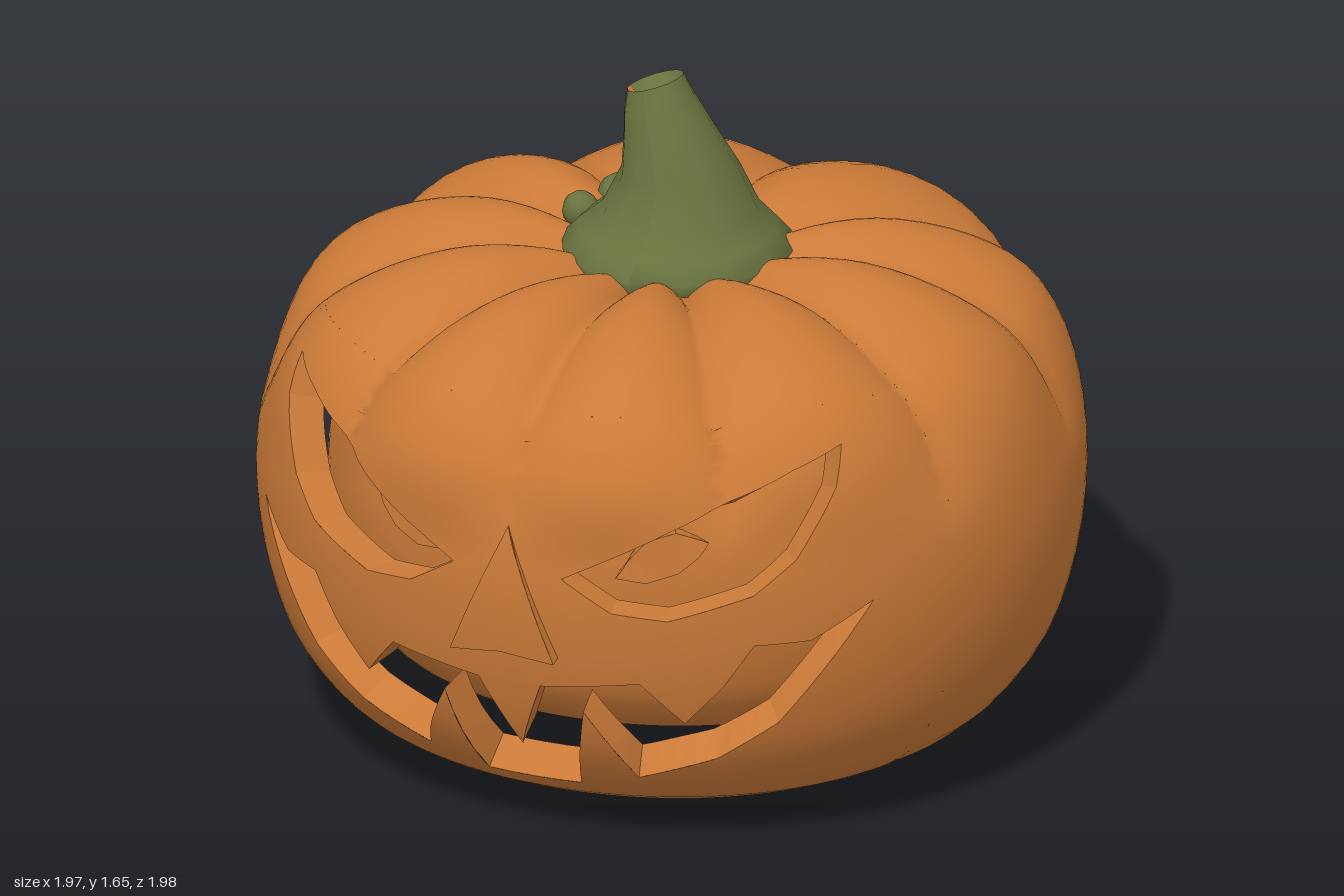
import * as THREE from 'three';

const skin = new THREE.MeshStandardMaterial({ color: 0xcb7a38 });
skin.name = 'pumpkinOrange';
const green = new THREE.MeshStandardMaterial({ color: 0x69733f });
green.name = 'stemGreen';

const V2 = (p) => new THREE.Vector2(p[0], p[1]);
const ss = THREE.MathUtils.smoothstep;

// Side profile (radius, height) from the underside to the hollow below the stem
const profile = new THREE.SplineCurve([
  [0.02, 0.02], [0.2, 0.005], [0.42, 0.005], [0.73, 0.085], [0.89, 0.23], [0.97, 0.42], [1, 0.66],
  [0.97, 0.88], [0.88, 1.075], [0.73, 1.185], [0.52, 1.245], [0.32, 1.235], [0.12, 1.17],
].map(V2));

// Angles of the grooves, measured from the front
const half = [0.56, 1.19, 1.8, 2.34];
const grooves = [-Math.PI, ...half.map((a) => -a).reverse(), 0, ...half, Math.PI];
const FACE = { a: 1.19, y0: 0.1, y1: 1.12 };

// Profile parameter at a height on the side
function vOf(y) {
  let lo = 2 / 12, hi = 10 / 12;
  for (let i = 0; i < 22; i++) {
    const m = (lo + hi) / 2;
    if (profile.getPoint(m).y < y) lo = m; else hi = m;
  }
  return (lo + hi) / 2;
}

// Lobed skin: grooves fade on the lower front and sides
function skinPoint(angle, v) {
  const p = profile.getPoint(THREE.MathUtils.clamp(v, 0, 1));
  const a = THREE.MathUtils.euclideanModulo(angle + Math.PI, 2 * Math.PI) - Math.PI;
  let i = 0;
  while (i < grooves.length - 2 && a > grooves[i + 1]) i++;
  const u = (a - grooves[i]) / (grooves[i + 1] - grooves[i]);
  const lobe = Math.pow(Math.max(0, Math.sin(Math.PI * u)), 0.8);
  const fade = (1 - ss(Math.abs(a), 1.9, 2.5)) * (1 - ss(p.y, 0.75, 1));
  const b = THREE.MathUtils.lerp(lobe, 0.05 + 0.75 * (1 - Math.exp(-2 * a * a)), fade);
  const r = p.x * (0.965 + 0.055 * b);
  const y = p.y - 0.06 * (1 - b) * ss(p.y, 0.9, 1.2);
  return new THREE.Vector3(0.975 * r * Math.sin(a), y, r * Math.cos(a));
}

function skinNormal(a, v) {
  const e = 0.004;
  const da = skinPoint(a + e, v).sub(skinPoint(a - e, v));
  const dv = skinPoint(a, v + e).sub(skinPoint(a, v - e));
  return da.cross(dv).normalize();
}

// Point at a depth under the skin
const under = (a, v, depth) => skinPoint(a, v).addScaledVector(skinNormal(a, v), -depth);

function toGeometry(pos, nor, index) {
  const g = new THREE.BufferGeometry();
  g.setAttribute('position', new THREE.Float32BufferAttribute(pos, 3));
  if (nor) g.setAttribute('normal', new THREE.Float32BufferAttribute(nor, 3));
  if (index) g.setIndex(index);
  if (!nor) g.computeVertexNormals();
  return g;
}

// Regular piece of skin between two angles and two profile parameters
function skinGrid(a0, a1, v0, v1, na, nv, depth = 0) {
  const pos = [], nor = [], index = [];
  for (let j = 0; j <= nv; j++) for (let i = 0; i <= na; i++) {
    const a = a0 + (a1 - a0) * i / na, v = v0 + (v1 - v0) * j / nv;
    pos.push(...under(a, v, depth));
    nor.push(...skinNormal(a, v));
    if (i < na && j < nv) {
      const k = j * (na + 1) + i, m = k + na + 1;
      index.push(k, k + 1, m + 1, k, m + 1, m);
    }
  }
  return toGeometry(pos, nor, index);
}

// Outline drawn on the front (x, y) -> (angle, y), counter-clockwise
function wrap(points) {
  const out = points.map(([x, y]) => {
    const v = vOf(y);
    let a = 0;
    for (let i = 0; i < 8; i++) {
      const q = skinPoint(a, v);
      a = Math.asin(THREE.MathUtils.clamp(x / Math.hypot(q.x, q.z * 0.975), -1, 1));
    }
    return new THREE.Vector2(a, y);
  });
  return THREE.ShapeUtils.isClockWise(out) ? out.reverse() : out;
}

// Outline with holes, split finely and bent onto the skin
function skinPatch(outline, holes, depth, size = 0.055) {
  const all = [outline, ...holes].flat(), pos = [], nor = [];
  const split = (a, b, c) => {
    const l = [a.distanceTo(b), b.distanceTo(c), c.distanceTo(a)];
    const m = Math.max(...l);
    if (m > size) {
      if (l[1] === m) return split(b, c, a);
      if (l[2] === m) return split(c, a, b);
      const h = a.clone().add(b).multiplyScalar(0.5);
      split(a, h, c);
      return split(h, b, c);
    }
    for (const p of [a, b, c]) {
      const v = vOf(p.y);
      pos.push(...under(p.x, v, depth(p.y)));
      nor.push(...skinNormal(p.x, v));
    }
  };
  for (const [i, j, k] of THREE.ShapeUtils.triangulateShape(outline.slice(), holes.map((h) => h.slice()))) {
    const [a, b, c] = [all[i], all[j], all[k]];
    const area = (b.x - a.x) * (c.y - a.y) - (c.x - a.x) * (b.y - a.y);
    if (area > 0) split(a, b, c); else split(a, c, b);
  }
  return toGeometry(pos, nor);
}

// Wall along an outline between two depths; faces the inside, or the outside of a raised piece
function wall(outline, top, base, raised) {
  const pos = [], n = 4;
  outline.forEach((p, i) => {
    const q = outline[(i + 1) % outline.length];
    for (let k = 0; k < n; k++) {
      const [s, t] = [k / n, (k + 1) / n].map((f) => p.clone().lerp(q, f));
      const [a, b] = raised ? [t, s] : [s, t];
      const at = (o, d) => under(o.x, vOf(o.y), d(o.y));
      const [A, B, C, D] = [at(a, top), at(b, top), at(b, base), at(a, base)];
      for (const w of [A, B, C, A, C, D]) pos.push(...w);
    }
  });
  return toGeometry(pos);
}

const mirror = (pts) => pts.map(([x, y]) => [-x, y]);

export function createModel() {
  const model = new THREE.Group();
  model.name = 'carvedPumpkin';
  const add = (name, geometry, material = skin) => {
    const mesh = new THREE.Mesh(geometry, material);
    mesh.name = name;
    model.add(mesh);
    return mesh;
  };

  // Lobes; the front ones leave room for the carved face
  const vLow = vOf(FACE.y0), vHigh = vOf(FACE.y1);
  for (let i = 0; i < grooves.length - 1; i++) {
    const a0 = grooves[i], a1 = grooves[i + 1];
    if (Math.abs(a0 + a1) / 2 < FACE.a) {
      add('frontLobeBottom', skinGrid(a0, a1, 0, vLow, 14, 14));
      add('frontLobeTop', skinGrid(a0, a1, vHigh, 1, 14, 16));
    } else add('lobe', skinGrid(a0, a1, 0, 1, 14, 44));
  }

  // Carved openings
  const eye = [[0.7, 1.04], [0.62, 1], [0.38, 0.87], [0.14, 0.74], [0.26, 0.665], [0.39, 0.65],
    [0.57, 0.71], [0.65, 0.79], [0.71, 0.95]];
  const upperLip = [[0.08, 0.45], [0.32, 0.48], [0.41, 0.37], [0.5, 0.47], [0.57, 0.58], [0.68, 0.58], [0.79, 0.66]];
  const lowerLip = [[0.7, 0.5], [0.6, 0.36], [0.46, 0.26], [0.27, 0.19], [0.18, 0.39], [0.12, 0.15]];
  const side = [...upperLip, ...lowerLip];
  const mouth = [[0.01, 0.27], ...side, ...mirror(side).reverse()];
  const openings = [eye, mirror(eye), mouth].map(wrap);

  const frame = [[-FACE.a, FACE.y0], [FACE.a, FACE.y0], [FACE.a, FACE.y1], [-FACE.a, FACE.y1]].map(V2);
  add('face', skinPatch(frame, openings, () => 0));
  ['leftEyeRim', 'rightEyeRim', 'mouthRim'].forEach((name, i) =>
    add(name, wall(openings[i], () => 0, () => 0.09, false)));

  // Flesh behind the face
  add('innerFlesh', skinGrid(-1.3, 1.3, vLow, vOf(1.15), 40, 24, 0.17));

  // Almond pupils raised from the flesh
  const pupil = [[0.49, 0.83], [0.41, 0.84], [0.33, 0.805], [0.28, 0.76], [0.25, 0.715], [0.33, 0.705],
    [0.41, 0.735], [0.46, 0.78]];
  [['leftPupil', pupil], ['rightPupil', mirror(pupil)]].forEach(([name, pts]) => {
    const o = wrap(pts);
    add(name, skinPatch(o, [], () => 0.11));
    add(name + 'Edge', wall(o, () => 0.11, () => 0.18, true));
  });

  // Wedge nose, proud at its base
  const nose = wrap([[0, 0.85], [-0.13, 0.535], [0, 0.55], [0.13, 0.535]]);
  const proud = (y) => -0.004 - 0.032 * (0.85 - y) / 0.315;
  add('nose', skinPatch(nose, [], proud));
  add('noseEdge', wall(nose, proud, () => 0.01, true));

  // Stem: turned, then bent sideways with a slanted cut
  const bend = (g) => {
    const p = g.attributes.position;
    for (let i = 0; i < p.count; i++) {
      const x = p.getX(i), y = p.getY(i);
      const cx = 0.02 * ss(y, 1.22, 1.36) - 0.062 * ss(y, 1.38, 1.64);
      p.setXYZ(i, x + cx, y + 0.35 * x * ss(y, 1.45, 1.6), p.getZ(i) - 0.035 * (1 - ss(y, 1.2, 1.6)));
    }
    g.computeVertexNormals();
    return g;
  };
  const turned = (pts, n, ...arc) => bend(new THREE.LatheGeometry(pts.map(V2), n, ...arc));
  add('stem', turned([[0.265, 1.17], [0.28, 1.205], [0.24, 1.25], [0.19, 1.3], [0.145, 1.4], [0.11, 1.5],
    [0.085, 1.57], [0.068, 1.625]], 14), green);
  add('stemTip', turned([[0.068, 1.625], [0.054, 1.6], [0, 1.597]], 14), green);
  add('stemCut', turned([[0.067, 1.626], [0.05, 1.603], [0.03, 1.602]], 6, Math.PI * 1.5, Math.PI * 0.6), skin);

  // Small nubs beside the stem
  [[-0.23, 1.215, -0.215, 0.055], [-0.28, 1.215, -0.1, 0.045]].forEach(([x, y, z, r]) =>
    add('stemNub', new THREE.SphereGeometry(r, 10, 8), green).position.set(x, y, z));

  return model;
}
